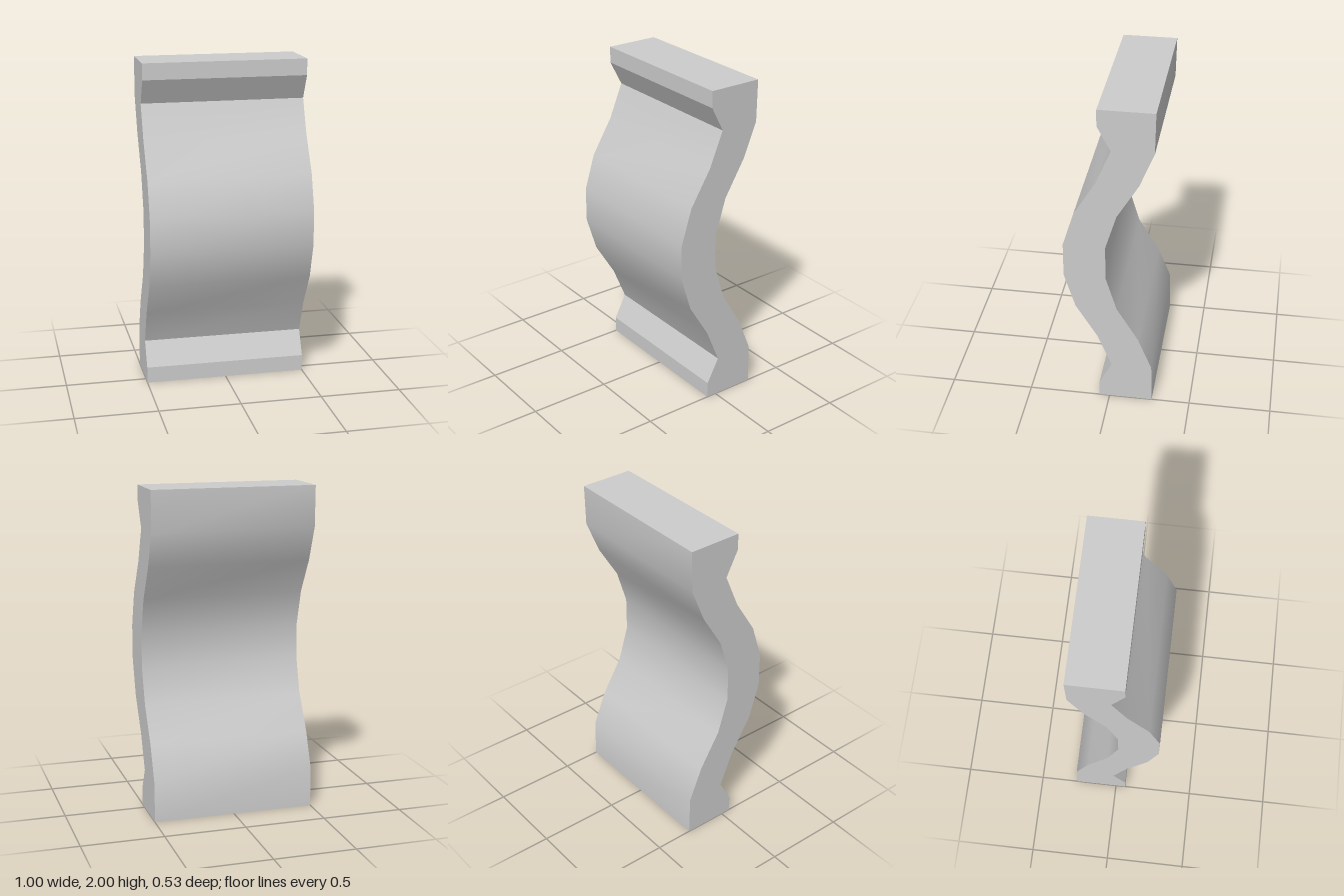
import * as THREE from 'three';
import { toCreasedNormals } from 'three/addons/utils/BufferGeometryUtils.js';

export function createModel() {
  const group = new THREE.Group();
  group.name = 'wavyPanel';

  // Upper half of the side profile as [z, y]; the lower half mirrors it about y = 1
  const front = [[0.27, 1.107], [0.203, 1.325], [0.072, 1.54], [-0.015, 1.75], [0.063, 1.9], [0.063, 2]];
  const back = [[-0.265, 2], [-0.26, 1.75], [-0.175, 1.54], [-0.046, 1.325], [0.02, 1.107]];
  const upper = [...front, ...back];
  const lower = upper.map(([z, y]) => [z, 2 - y]).reverse();
  const shape = new THREE.Shape([...upper, ...lower].map(([z, y]) => new THREE.Vector2(-z, y)));

  // Sweep the profile across the width, rounding the wave and keeping the lip edges sharp
  const geometry = new THREE.ExtrudeGeometry(shape, { depth: 1, bevelEnabled: false });
  geometry.translate(0, 0, -0.5);
  geometry.rotateY(Math.PI / 2);

  const panel = new THREE.Mesh(
    toCreasedNormals(geometry, THREE.MathUtils.degToRad(25)),
    new THREE.MeshStandardMaterial({ color: 0xcccccc })
  );
  panel.name = 'curvedPanel';
  group.add(panel);
  return group;
}
